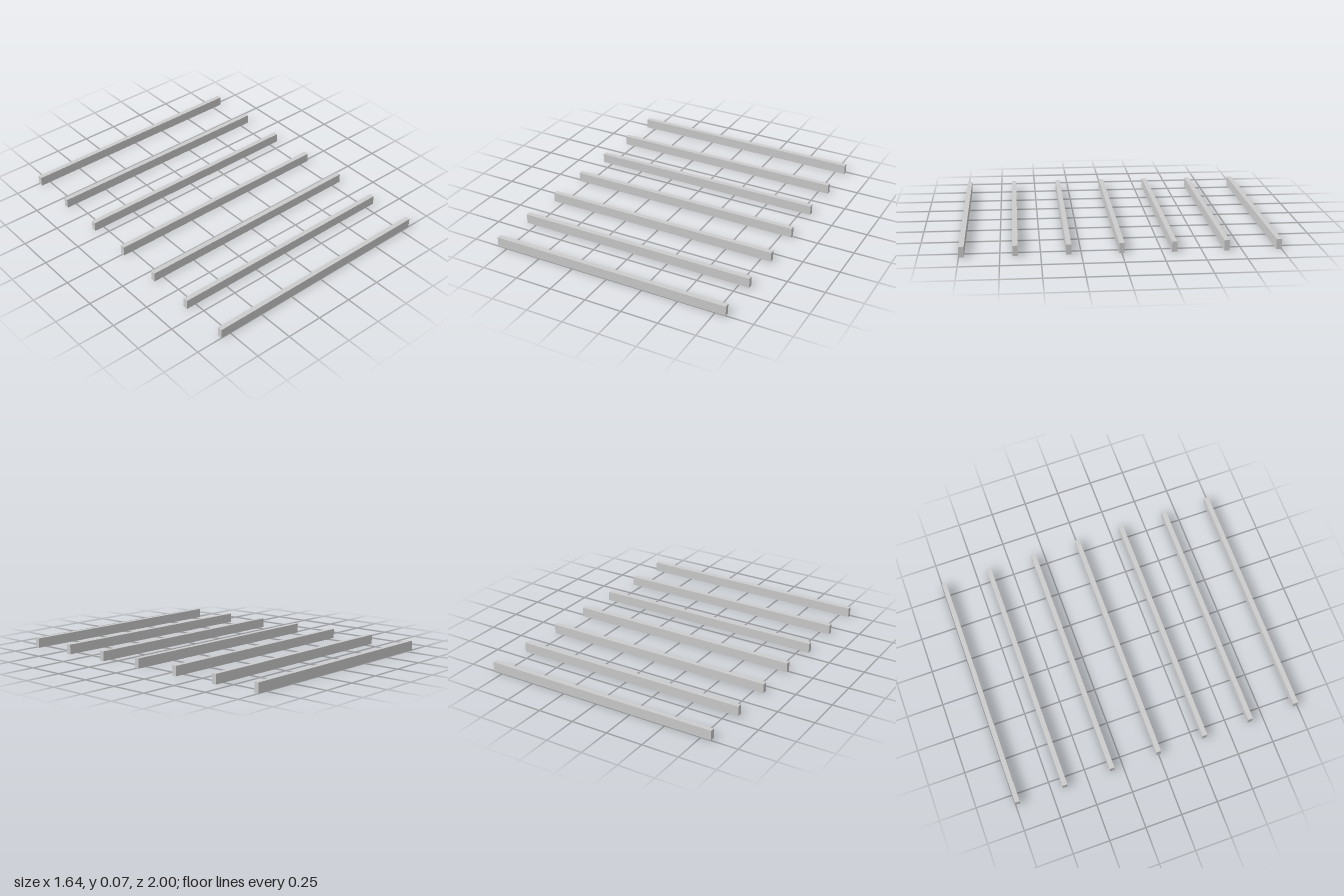
import * as THREE from 'three';

const COUNT = 7;
const SPACING = 0.3279;
const WIDTH = 1.639, HEIGHT = 0.0656, DEPTH = 0.0328;

export function createModel() {
  const model = new THREE.Group();
  model.name = 'parallelBeams';
  const material = new THREE.MeshStandardMaterial({ color: 0xcccccc });
  const beamGeometry = new THREE.BoxGeometry(WIDTH, HEIGHT, DEPTH);

  // Evenly spaced beams lying on the ground, running left to right
  for (let i = 0; i < COUNT; i++) {
    const beam = new THREE.Mesh(beamGeometry, material);
    beam.name = `beam${i + 1}`;
    beam.position.set(0, HEIGHT / 2, (i - (COUNT - 1) / 2) * SPACING);
    model.add(beam);
  }
  return model;
}
